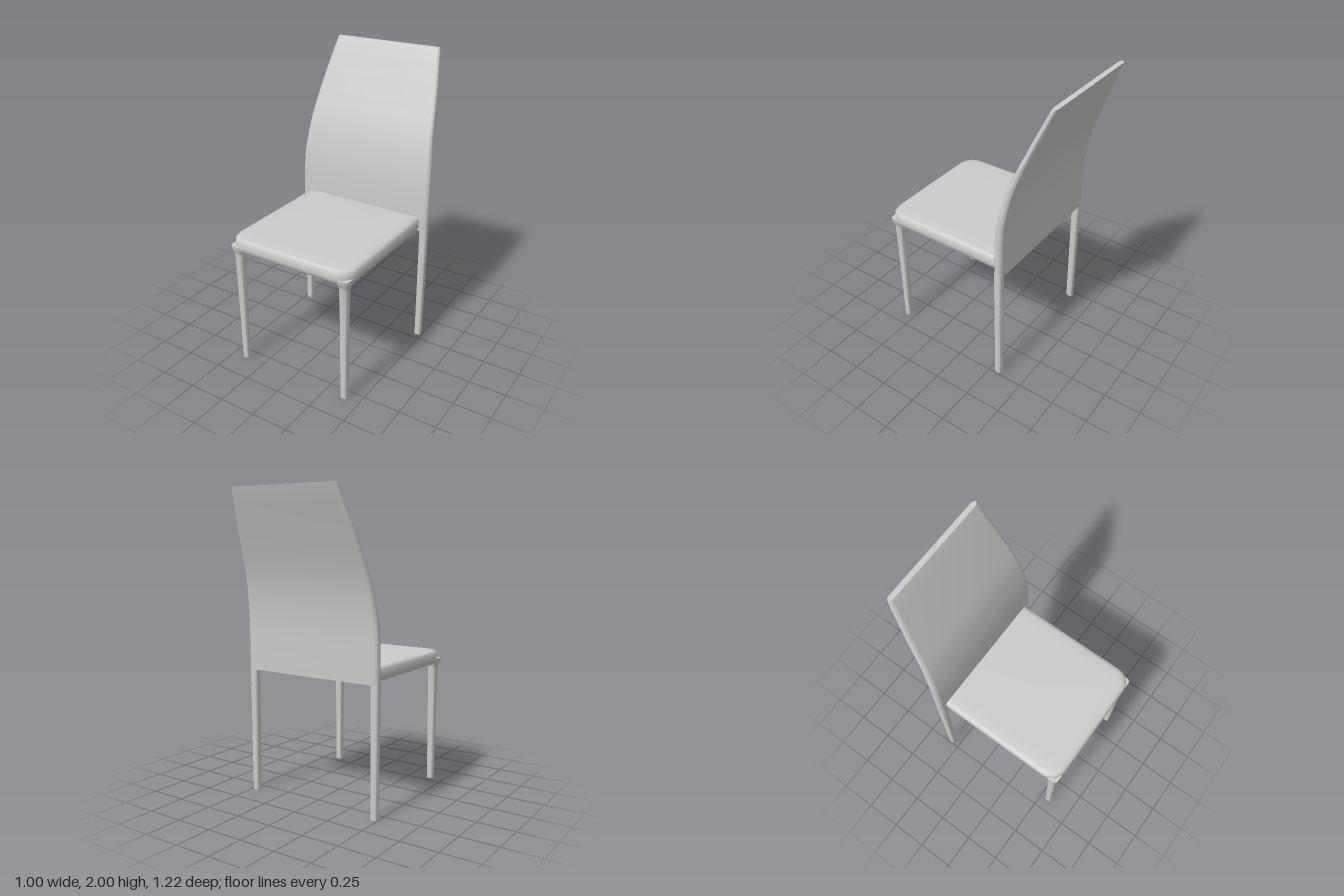
import * as THREE from 'three';
import { toCreasedNormals } from 'three/addons/utils/BufferGeometryUtils.js';

const material = new THREE.MeshStandardMaterial({ color: 0xcccccc });

// Horizontal rounded rectangle at height y, counter-clockwise from above.
// rx, rz: corner radii; back corners may use a smaller share of them.
function ring(y, x0, x1, z0, z1, rx, rz, backShare = 1, steps = 5) {
  const points = [];
  const corners = [[x1, z1, -1, -1, 1], [x1, z0, -1, 1, backShare], [x0, z0, 1, 1, backShare], [x0, z1, 1, -1, 1]];
  corners.forEach(([x, z, sx, sz, share], k) => {
    const ax = rx * share, az = rz * share;
    for (let i = 0; i <= steps; i++) {
      const t = (k - 1 + i / steps) * Math.PI / 2;
      points.push([x + sx * ax + ax * Math.cos(t), y, z + sz * az - az * Math.sin(t)]);
    }
  });
  return points;
}

// Skin a stack of rings from bottom to top and close both ends.
function loft(rings, crease) {
  const n = rings[0].length, last = (rings.length - 1) * n;
  const positions = rings.flat(2), index = [];
  const centre = (r) => [0, 1, 2].map((a) => r.reduce((s, p) => s + p[a], 0) / n);
  positions.push(...centre(rings[0]), ...centre(rings[rings.length - 1]));
  const bottom = rings.length * n, top = bottom + 1;
  for (let i = 0; i < n; i++) {
    const j = (i + 1) % n;
    for (let k = 0; k < last; k += n) {
      index.push(k + i, k + j, k + n + j, k + i, k + n + j, k + n + i);
    }
    index.push(bottom, j, i, top, last + i, last + j);
  }
  const geometry = new THREE.BufferGeometry();
  geometry.setAttribute('position', new THREE.Float32BufferAttribute(positions, 3));
  geometry.setIndex(index);
  geometry.computeVertexNormals();
  return crease ? toCreasedNormals(geometry, crease) : geometry;
}

export function createModel() {
  const chair = new THREE.Group();
  const add = (name, geometry) => {
    const mesh = new THREE.Mesh(geometry, material);
    mesh.name = name;
    chair.add(mesh);
  };

  // Seat cushion: [height, inset], round front corners, soft upper border
  const seatRows = [[0.835, 0.02], [0.845, 0.004], [0.87, 0], [0.91, 0], [0.926, 0.012], [0.93, 0.035], [0.931, 0.1]];
  add('seat', loft(seatRows.map(([y, d]) =>
    ring(y, -0.449 + d, 0.443 - d, -0.31, 0.61 - d, 0.11 - d * 0.5, 0.11 - d * 0.5, 0.1)), 0.9));

  // Curved backrest: [height, half width, front z, back z]
  const backRows = [
    [0.835, 0.498, -0.285, -0.342], [0.95, 0.5, -0.285, -0.344], [1.1, 0.499, -0.288, -0.346],
    [1.2, 0.495, -0.295, -0.352], [1.3, 0.487, -0.312, -0.368], [1.4, 0.476, -0.334, -0.388],
    [1.48, 0.467, -0.356, -0.409], [1.56, 0.457, -0.388, -0.437], [1.65, 0.445, -0.425, -0.471],
    [1.78, 0.425, -0.48, -0.522], [1.9, 0.403, -0.531, -0.57], [1.985, 0.387, -0.568, -0.604],
    [2, 0.383, -0.576, -0.609],
  ];
  add('backrest', loft(backRows.map(([y, w, front, back]) =>
    ring(y, -w, w, back, front, 0.03, (front - back) * 0.46)), 0.9));

  // Legs taper slightly; the front pair flares under the seat
  const frontRows = [[0, 0.022], [0.6, 0.026], [0.8, 0.03], [0.825, 0.034], [0.84, 0.044], [0.87, 0.046]];
  const backLegRows = [[0, 0.023], [0.5, 0.025], [0.86, 0.027]];
  const leg = (rows, x, z) => loft(rows.map(([y, h]) =>
    ring(y, x - h, x + h, z - h, z + h, h * 0.6, h * 0.6, 1, 3)), 0.9);
  for (const [side, s] of [['left', 1], ['right', -1]]) {
    add(side + 'FrontLeg', leg(frontRows, s * 0.395 - 0.005, 0.561));
    add(side + 'BackLeg', leg(backLegRows, s * 0.471, -0.313));
  }
  return chair;
}
